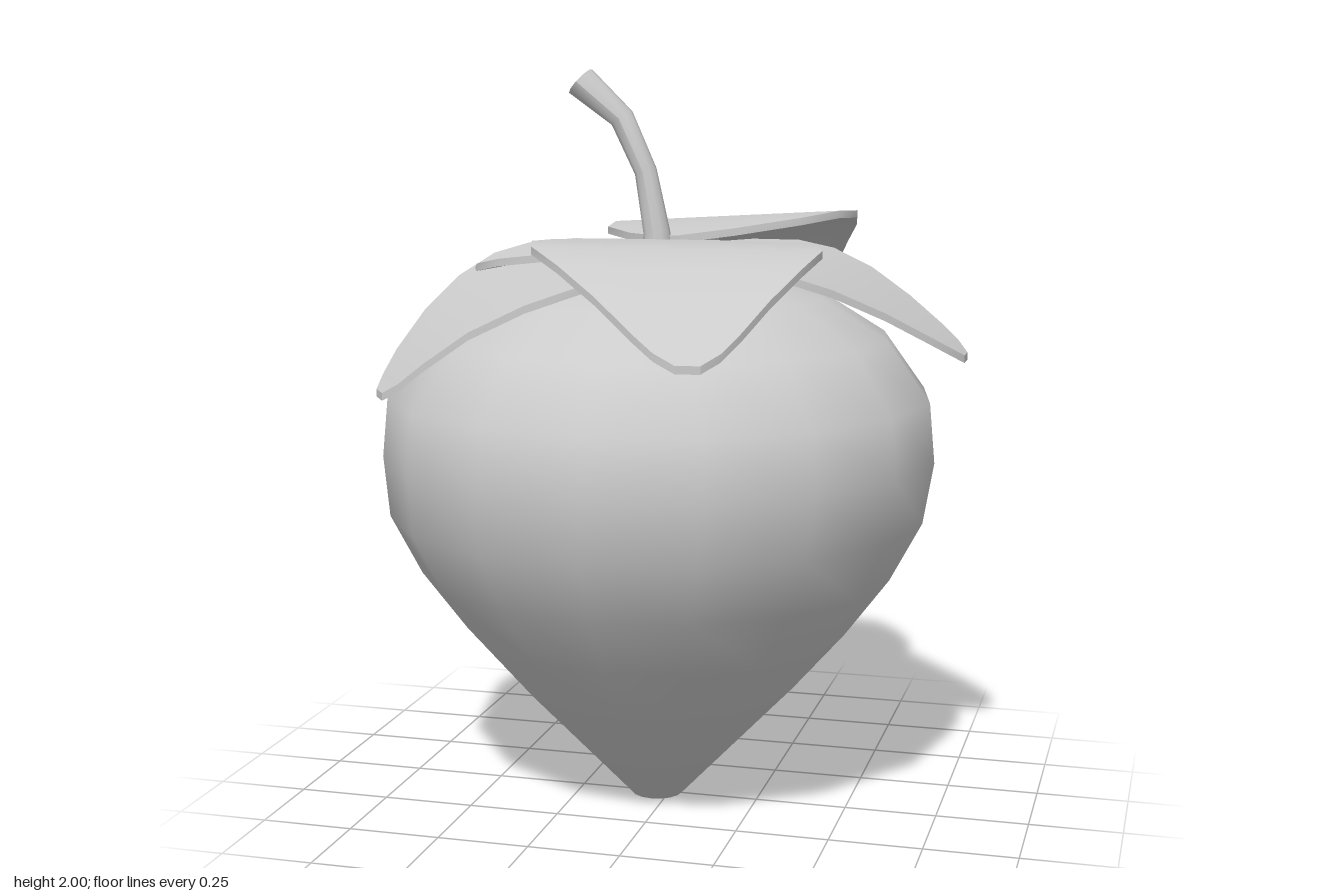
import * as THREE from 'three';

const grey = () => new THREE.MeshStandardMaterial({ color: 0xcccccc });

function part(name, geometry) {
  geometry.computeVertexNormals();
  const mesh = new THREE.Mesh(geometry, grey());
  mesh.name = name;
  return mesh;
}

// Move every vertex of a geometry by a rule
function deform(geometry, rule) {
  const p = geometry.attributes.position;
  const v = new THREE.Vector3();
  for (let i = 0; i < p.count; i++) {
    rule(v.fromBufferAttribute(p, i));
    p.setXYZ(i, v.x, v.y, v.z);
  }
  return geometry;
}

// Leaf outline: distance from the stem and half width there
const REACH = [0, 0.06, 0.16, 0.28, 0.38, 0.5, 0.62, 0.72, 0.77, 0.8];
const HALF = [0.03, 0.17, 0.31, 0.365, 0.365, 0.3, 0.21, 0.13, 0.08, 0.03];

// A thin slab shaped to the outline, following a height for each station
function makeLeaf(name, angle, heights, roll) {
  const rows = REACH.length - 1;
  const geometry = deform(new THREE.BoxGeometry(1, 1, 1, rows, 1, 4), (v) => {
    const i = Math.round((v.x + 0.5) * rows);
    const side = v.z * 2 * HALF[i];
    v.set(REACH[i], heights[i] + v.y * 0.02 + side * roll, side);
  });
  const leaf = part(name, geometry);
  leaf.rotation.y = -THREE.MathUtils.degToRad(angle);
  return leaf;
}

// Bent stem: each ring is x, y, radius and lean
function makeStem() {
  const rings = [
    [-0.03, 1.46, 0.045, 0.05],
    [-0.035, 1.57, 0.036, 0.12],
    [-0.065, 1.73, 0.03, 0.3],
    [-0.13, 1.87, 0.033, 0.6],
    [-0.245, 1.967, 0.044, 0.82],
  ];
  const rows = rings.length - 1;
  return part('stem', deform(new THREE.CylinderGeometry(1, 1, 1, 10, rows), (v) => {
    const [x, y, r, lean] = rings[Math.round((v.y + 0.5) * rows)];
    v.set(x + v.x * r * Math.cos(lean), y + v.x * r * Math.sin(lean), v.z * r);
  }));
}

export function createModel() {
  const group = new THREE.Group();

  // Fruit body, its upper half leaning slightly back
  const profile = [
    [0, 0], [0.07, 0], [0.385, 0.33], [0.525, 0.49], [0.645, 0.65], [0.73, 0.81],
    [0.755, 0.97], [0.74, 1.13], [0.625, 1.29], [0.45, 1.4], [0.25, 1.46], [0, 1.48],
  ].map(([r, y]) => new THREE.Vector2(r, y));
  const bodyGeometry = deform(new THREE.LatheGeometry(profile, 16), (v) => {
    const lean = THREE.MathUtils.smoothstep(v.y, 0.75, 1.0) * 0.03;
    v.set(v.x - 0.035, v.y, v.z * 0.975 - lean);
  });
  const body = new THREE.Mesh(bodyGeometry, grey());
  body.name = 'fruitBody';
  group.add(body);

  // Five leaves around the stem
  const leaves = [
    ['leftLeaf', 0, [1.52, 1.52, 1.52, 1.515, 1.495, 1.45, 1.385, 1.32, 1.285, 1.26], 0],
    ['frontLeaf', 72, [1.54, 1.545, 1.55, 1.555, 1.55, 1.515, 1.45, 1.38, 1.34, 1.315], 0.02],
    ['frontRightLeaf', 144, [1.52, 1.52, 1.515, 1.5, 1.475, 1.425, 1.35, 1.26, 1.205, 1.175], 0.03],
    ['backRightLeaf', 216, [1.52, 1.52, 1.515, 1.5, 1.48, 1.43, 1.37, 1.3, 1.26, 1.235], 0.03],
    ['backLeaf', 288, [1.55, 1.56, 1.575, 1.585, 1.58, 1.555, 1.505, 1.45, 1.42, 1.395], 0.08],
  ];
  for (const leaf of leaves) group.add(makeLeaf(...leaf));

  group.add(makeStem());
  return group;
}
